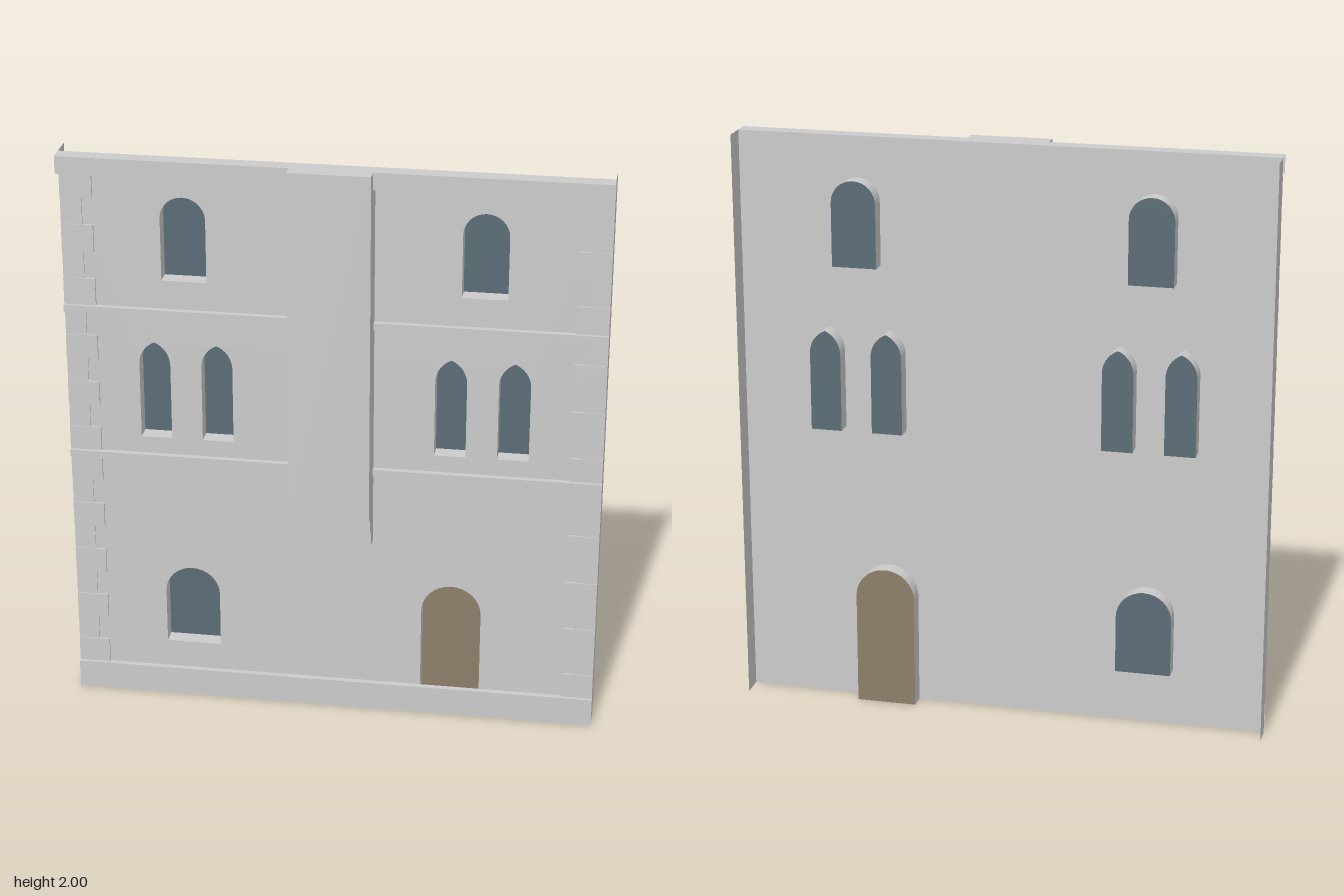
import * as THREE from 'three';

const HALF = 0.908, TOP = 2;          // facade half width and height
const WALL = -0.01, PANE = -0.067;    // depths of wall face and window panes
const BACK = -0.09, FRONT = 0.09;     // rear edge of side returns, chimney front
const CHIMNEY = 0.137;                // chimney half width

const V = (x, y, z) => new THREE.Vector3(x, y, z);
const material = (color) => new THREE.MeshStandardMaterial({ color, side: THREE.DoubleSide });

// Flat-faced open ribbon: sweeps a polyline along one straight offset
function ribbon(points, offset) {
  const pos = [];
  for (let i = 0; i < points.length - 1; i++) {
    const p = points[i], q = points[i + 1];
    const p2 = p.clone().add(offset), q2 = q.clone().add(offset);
    for (const v of [p, q, q2, p, q2, p2]) pos.push(v.x, v.y, v.z);
  }
  const g = new THREE.BufferGeometry();
  g.setAttribute('position', new THREE.Float32BufferAttribute(pos, 3));
  g.computeVertexNormals();
  return g;
}

// Arched outline, counterclockwise from bottom left; rise > half width makes it pointed
function archPoints({ x, y0, y1, w, rise }) {
  const a = w / 2, h = rise ?? a, spring = y1 - h;
  const R = (a * a + h * h) / (2 * a), end = Math.asin(Math.min(1, h / R));
  const n = 8, right = [];
  for (let i = 0; i <= n; i++) {
    const t = (end * i) / n;
    right.push([a - R + R * Math.cos(t), spring + R * Math.sin(t)]);
  }
  const left = right.slice(0, -1).reverse().map(([u, v]) => [-u, v]);
  return [[-a, y0], [a, y0], ...right, ...left].map(([u, v]) => new THREE.Vector2(x + u, v));
}

export function createModel() {
  const model = new THREE.Group();
  const stone = material(0xcccccc), glass = material(0x5b6d76), wood = material(0x8d7e6a);
  const add = (name, geometry, mat = stone, parent = model) => {
    const mesh = new THREE.Mesh(geometry, mat);
    mesh.name = name;
    parent.add(mesh);
    return mesh;
  };

  // Openings: the door reaches the ground behind the plinth
  const openings = [
    { name: 'groundWindow', x: -0.495, y0: 0.2, y1: 0.495, w: 0.19 },
    { name: 'door', x: 0.41, y0: 0, y1: 0.495, w: 0.206, door: true },
  ];
  for (const s of [-1, 1]) {
    openings.push({ name: 'upperWindow', x: s * 0.5, y0: 1.565, y1: 1.86, w: 0.152 });
    for (const x of [0.395, 0.607])
      openings.push({ name: 'lancetWindow', x: s * x, y0: 0.99, y1: 1.34, w: 0.106, rise: 0.08 });
  }

  // Wall sheet; the door notch is part of its outer edge
  const door = openings.find((o) => o.door);
  const doorEdge = archPoints(door).slice(1).reverse();
  const wallShape = new THREE.Shape([
    new THREE.Vector2(-HALF, 0),
    new THREE.Vector2(door.x - door.w / 2, 0), ...doorEdge,
    new THREE.Vector2(HALF, 0), new THREE.Vector2(HALF, TOP), new THREE.Vector2(-HALF, TOP),
  ]);
  for (const o of openings) if (!o.door) wallShape.holes.push(new THREE.Path(archPoints(o)));
  add('wall', new THREE.ShapeGeometry(wallShape).translate(0, 0, WALL));

  // Recessed reveals with a pane or door leaf at the back
  for (const o of openings) {
    const group = new THREE.Group();
    group.name = o.name;
    model.add(group);
    const outline = archPoints(o);
    const edge = (o.door ? outline.slice(1) : outline).map((p) => V(p.x, p.y, WALL));
    edge.push(V(outline[0].x, outline[0].y, WALL));
    add('reveal', ribbon(edge, V(0, 0, PANE - WALL)), stone, group);
    const leaf = new THREE.ShapeGeometry(new THREE.Shape(outline)).translate(0, 0, PANE);
    add(o.door ? 'doorLeaf' : 'pane', leaf, o.door ? wood : glass, group);
  }

  // Horizontal mouldings, open at their ends
  const moulding = (name, y0, y1, z, x0, x1) => add(name, ribbon(
    [V(x0, y1, WALL), V(x0, y1, z), V(x0, y0, z), V(x0, y0, WALL)], V(x1 - x0, 0, 0)));
  moulding('plinth', 0, 0.1, 0.01, -HALF, HALF);
  for (const [x0, x1] of [[-HALF, -CHIMNEY], [CHIMNEY, HALF]]) {
    moulding('lowerStringCourse', 0.905, 0.93, 0.01, x0, x1);
    moulding('upperStringCourse', 1.44, 1.465, 0.01, x0, x1);
    moulding('cornice', 1.94, TOP, 0.045, x0, x1);
  }

  // Chimney breast on a stepped corbel
  const profile = [[WALL, TOP], [WALL, 0.655], [0.032, 0.655], [0.032, 0.715],
    [0.063, 0.715], [0.063, 0.77], [FRONT, 0.77], [FRONT, TOP]];
  const chimney = new THREE.ExtrudeGeometry(
    new THREE.Shape(profile.map(([z, y]) => new THREE.Vector2(z, y))),
    { depth: 2 * CHIMNEY, bevelEnabled: false });
  chimney.rotateY(-Math.PI / 2).translate(CHIMNEY, 0, 0);
  add('chimneyBreast', chimney);

  // Side returns and alternating corner stones
  const storeys = [[0.1, 0.905, 9], [0.93, 1.44, 6], [1.465, 1.94, 5]];
  for (const s of [-1, 1]) {
    add('sideReturn', ribbon([V(s * HALF, 0, BACK), V(s * HALF, TOP, BACK)], V(0, 0, WALL - BACK)));
    for (const [y0, y1, n] of storeys) {
      const h = (y1 - y0) / n;
      for (let i = 0; i < n; i++) {
        const wide = i % 2 === 0;
        const w = wide ? 0.108 : 0.072, d = wide ? 0.008 : 0.005;
        const stoneBlock = add('cornerStone', new THREE.BoxGeometry(w, h, d));
        stoneBlock.position.set(s * (HALF - w / 2), y0 + (i + 0.5) * h, WALL + d / 2);
      }
    }
  }
  return model;
}
